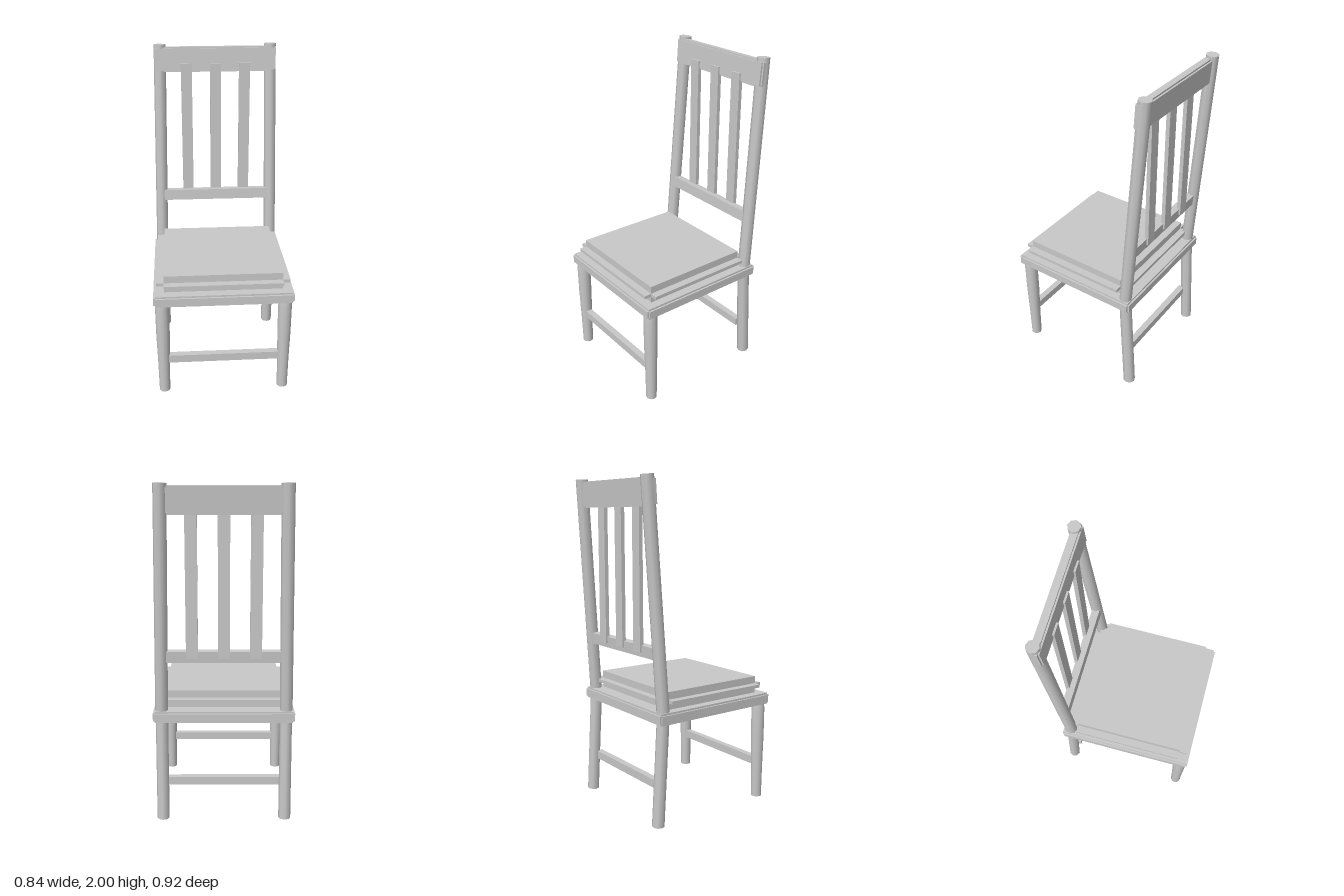
import * as THREE from 'three';

const paint = new THREE.MeshStandardMaterial({ color: 0xc8c8c8 });
paint.name = 'light grey';

function box(parent, name, size, pos) {
  const m = new THREE.Mesh(new THREE.BoxGeometry(...size), paint);
  m.name = name;
  m.position.set(...pos);
  parent.add(m);
  return m;
}

// Slab with stepped edges: three crossing boxes, each full length along one axis
function steppedBox(parent, name, size, pos, step) {
  const g = new THREE.Group();
  g.name = name;
  g.position.set(...pos);
  for (let axis = 0; axis < 3; axis++) {
    box(g, name + 'Layer', size.map((s, i) => (i === axis ? s : s - 2 * step)), [0, 0, 0]);
  }
  parent.add(g);
  return g;
}

// Eight-sided round bar between two points
function bar(parent, name, from, to, r) {
  const a = new THREE.Vector3(...from), b = new THREE.Vector3(...to);
  const dir = b.clone().sub(a);
  const m = new THREE.Mesh(new THREE.CylinderGeometry(r, r, dir.length(), 8), paint);
  m.name = name;
  m.position.copy(a).add(b).multiplyScalar(0.5);
  m.quaternion.setFromUnitVectors(new THREE.Vector3(0, 1, 0), dir.normalize());
  parent.add(m);
}

export function createModel() {
  const chair = new THREE.Group();
  chair.name = 'chair';

  // Seat frame and cushion
  steppedBox(chair, 'seatFrame', [0.84, 0.07, 0.844], [0, 0.65, 0.036], 0.011);
  steppedBox(chair, 'cushion', [0.8, 0.11, 0.77], [0, 0.735, 0.05], 0.045);

  // Tapered front leg profile, bottom to top
  const profile = [[0, 0], [0.033, 0], [0.036, 0.2], [0.041, 0.4], [0.042, 0.58], [0.036, 0.63]]
    .map(([r, y]) => new THREE.Vector2(r, y));
  const legGeometry = new THREE.LatheGeometry(profile.slice(1), 12);
  const footGeometry = new THREE.CircleGeometry(0.033, 12).rotateX(Math.PI / 2);

  for (const side of [-1, 1]) {
    const leg = new THREE.Group();
    leg.name = side > 0 ? 'frontLegLeft' : 'frontLegRight';
    leg.position.set(side * 0.37, 0.003, 0.408);
    leg.add(new THREE.Mesh(legGeometry, paint), new THREE.Mesh(footGeometry, paint));
    leg.children[0].name = 'legShaft';
    leg.children[1].name = 'legFoot';
    chair.add(leg);

    // Back leg and leaning back post
    const suffix = side > 0 ? 'Left' : 'Right';
    bar(chair, 'backLeg' + suffix, [side * 0.369, 0.003, -0.372], [side * 0.369, 0.63, -0.336], 0.037);
    bar(chair, 'backPost' + suffix, [side * 0.37, 0.67, -0.336], [side * 0.347, 1.998, -0.421], 0.038);
  }

  // Stretchers between the legs
  box(chair, 'frontStretcher', [0.7, 0.05, 0.04], [0, 0.235, 0.408]);
  box(chair, 'backStretcher', [0.7, 0.05, 0.04], [0, 0.235, -0.332]);

  // Backrest
  const crest = steppedBox(chair, 'crestRail', [0.765, 0.155, 0.056], [0, 1.907, -0.405], 0.01);
  crest.rotation.x = -0.065;
  const rail = box(chair, 'lowerBackRail', [0.7, 0.068, 0.048], [0, 1.018, -0.352]);
  rail.rotation.x = -0.065;
  for (const x of [-0.184, 0, 0.184]) {
    box(chair, 'backSlat', [0.069, 0.875, 0.024], [x, 1.448, -0.376]);
  }
  return chair;
}
